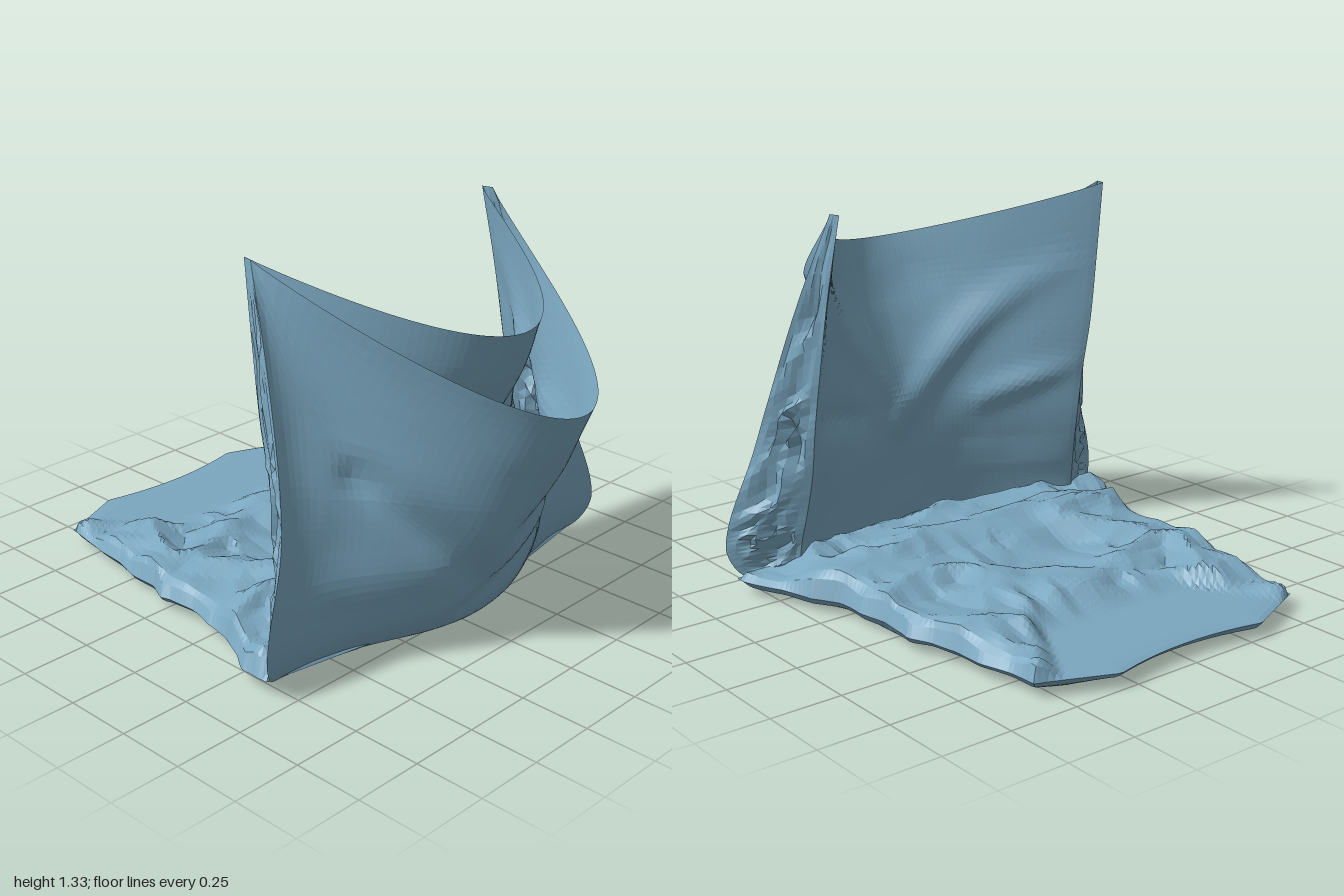
import * as THREE from 'three';

const cloth = new THREE.MeshStandardMaterial({
  color: 0x7ba7c0, flatShading: true, roughness: 0.9, side: THREE.DoubleSide,
});
const { lerp, smoothstep } = THREE.MathUtils;

// Seeded value noise, 0..1
const hash = (i, j) => {
  const s = Math.sin(i * 127.1 + j * 311.7 + 17.3) * 43758.5453;
  return s - Math.floor(s);
};
function noise(x, y) {
  const i = Math.floor(x), j = Math.floor(y), a = x - i, b = y - j;
  return lerp(lerp(hash(i, j), hash(i + 1, j), a), lerp(hash(i, j + 1), hash(i + 1, j + 1), a), b);
}
// Sharp crumpled ridges, 0..1
const ridge = (x, y) => 1 - Math.abs(2 * noise(x, y) - 1);

// Sheet of cloth from fn(u, v) -> [x, y, z], with u and v in 0..1
function sheet(name, nu, nv, fn) {
  const pos = [], index = [];
  for (let j = 0; j <= nv; j++) {
    for (let i = 0; i <= nu; i++) {
      pos.push(...fn(i / nu, j / nv));
      if (i < nu && j < nv) {
        const a = j * (nu + 1) + i, c = a + nu + 1;
        index.push(a, a + 1, c, a + 1, c + 1, c);
      }
    }
  }
  const geo = new THREE.BufferGeometry();
  geo.setAttribute('position', new THREE.Float32BufferAttribute(pos, 3));
  geo.setIndex(index);
  geo.computeVertexNormals();
  const mesh = new THREE.Mesh(geo, cloth);
  mesh.name = name;
  return mesh;
}

const curve = pts => new THREE.CatmullRomCurve3(pts.map(p => new THREE.Vector3(...p)));

// Bottom-to-top profiles at the middle and at the left edge of each panel
const frontMid = curve([[0, .015, .48], [0, .03, .57], [0, .12, .65], [0, .25, .72],
  [0, .42, .8], [0, .55, .85], [0, .72, .93], [0, .89, 1]]);
const frontEdge = curve([[.7, .03, .38], [.79, .05, .42], [.835, .13, .45], [.825, .23, .45],
  [.74, .47, .42], [.7, .65, .38], [.64, 1, .27], [.58, 1.33, .14]]);
const backMid = curve([[0, .06, .54], [0, .2, .53], [0, .35, .52], [0, .5, .53],
  [0, .65, .57], [0, .8, .63], [0, .95, .7], [0, 1.1, .76]]);
const backEdge = curve([[.62, .05, .32], [.62, .15, .31], [.61, .25, .29], [.6, .4, .26],
  [.6, .6, .23], [.6, .8, .19], [.59, 1.05, .15], [.57, 1.33, .1]]);

// Draped folds: x, y start; x, y end; depth; width
const frontFolds = [[.54, 1.2, .3, .72, .03, .06], [.3, .72, .0, .43, .04, .06],
  [.48, .85, .2, .42, .03, .06], [.2, .42, -.1, .13, .035, .05],
  [-.52, 1.15, -.43, .65, .03, .06], [-.43, .65, -.12, .25, .04, .06]];
const backFolds = [[.53, 1.15, .05, .55, .04, .07], [-.5, 1, .05, .45, .035, .06],
  [.58, .6, .25, .5, -.03, .05], [-.58, .62, -.3, .5, .03, .05]];

function foldDepth(folds, x, y) {
  let d = 0;
  for (const [x0, y0, x1, y1, depth, w] of folds) {
    const dx = x1 - x0, dy = y1 - y0;
    const raw = ((x - x0) * dx + (y - y0) * dy) / (dx * dx + dy * dy);
    const t = Math.min(1, Math.max(0, raw));
    const dist = Math.hypot(x - x0 - dx * t, y - y0 - dy * t);
    d -= depth * Math.exp(-((dist / w) ** 2)) * Math.sin(Math.PI * (0.25 + 0.5 * t));
  }
  return d;
}

// Hanging panel that bows forward; swag narrows the bulge toward the bottom
function panel(name, mid, edge, folds, swag) {
  return sheet(name, 64, 48, (a, v) => {
    const u = a * 2 - 1, m = mid.getPoint(v), e = edge.getPoint(v);
    const bow = 1 - (1 - u * u) ** lerp(swag, 1.1, v ** 2.5);
    const x = u * e.x, y = lerp(m.y, e.y, u * u);
    const soft = (1 - Math.abs(u) ** 6) * Math.min(1, (1 - v) * 6) * Math.min(1, v * 6);
    const z = lerp(m.z, e.z, bow) + soft * (foldDepth(folds, x, y) + .012 * (noise(x * 9 + 20, y * 9) - .5));
    return [x, y, z];
  });
}

// Crumpled, sunken narrow side joining the two panels
function sidePanel(name, side) {
  return sheet(name, 8, 44, (u, v) => {
    const f = frontEdge.getPoint(v), b = backEdge.getPoint(v);
    const k = Math.sin(Math.PI * u) * Math.min(1, (1 - v) * 5);
    const crumple = k * .06 * (ridge(u * 4 + side * 9, v * 13) - .8);
    return [side * (lerp(f.x, b.x, u) + crumple), lerp(f.y, b.y, u) + crumple * .3,
      lerp(f.z, b.z, u) + k * .03 * (noise(u * 5, v * 17 + side * 5) - .5)];
  });
}

// Ground outline: u across (-1..1), v from back to front
function groundPoint(u, v) {
  const a = Math.abs(u);
  const zBack = a < .55 ? lerp(-.95, -.99, (a / .55) ** 2) : lerp(-.99, -.88, (a - .55) / .45);
  const z = lerp(zBack, lerp(.55, .41, a), v);
  const half = .56 + .1 * smoothstep(z, -.98, -.2) + .15 * smoothstep(z, -.1, .42);
  const rag = a > .95 ? .03 * (ridge(z * 9 + u * 3, 4) - .5) : 0;
  return [u * (half + rag), z];
}

// Height of the crumpled flap: two folded sides overlap a thin middle tongue
function flapHeight(x, z) {
  const inV = Math.abs(x) - Math.max(0, -z) * .6;
  const overlap = smoothstep(inV, -.08, .02);
  const lump = smoothstep(z, -.66, -.48);
  const base = lerp(lerp(.06, .085, lump), .095, overlap) + .035 * Math.exp(-(((z - .1) / .15) ** 2));
  const rough = Math.max(overlap, lump);
  const warp = noise(x * 4 + 3, z * 4) * 1.5;
  return base + rough * (.07 * (ridge(x * 3.5 + warp, z * 4 + 7) - .55)
    + .035 * (ridge(x * 9 + 5, z * 7 + warp) - .5));
}

export function createModel() {
  const group = new THREE.Group();
  group.name = 'drapedClothBag';

  group.add(panel('frontPanel', frontMid, frontEdge, frontFolds, 3.8));
  group.add(panel('backPanel', backMid, backEdge, backFolds, 1.2));
  group.add(sidePanel('leftSide', 1), sidePanel('rightSide', -1));

  // Crumpled flap lying on the ground behind the bag
  const rim = .05;
  group.add(sheet('groundFlapTop', 60, 70, (a, v) => {
    const u = a * 2 - 1, [x, z] = groundPoint(u, v);
    const inside = Math.min(1, (1 - Math.abs(u)) * 14, v * 22, (1 - v) * 14);
    return [x, lerp(rim, flapHeight(x, z), Math.sqrt(Math.max(0, inside))), z];
  }));

  // Nearly flat underside
  group.add(sheet('groundFlapUnderside', 60, 70, (a, v) => {
    const u = a * 2 - 1, [x, z] = groundPoint(u, v);
    const inside = Math.min(1, (1 - Math.abs(u)) * 12, v * 20, (1 - v) * 12);
    return [x, lerp(rim, .022 * noise(x * 7, z * 7), Math.sqrt(Math.max(0, inside))), z];
  }));

  return group;
}
